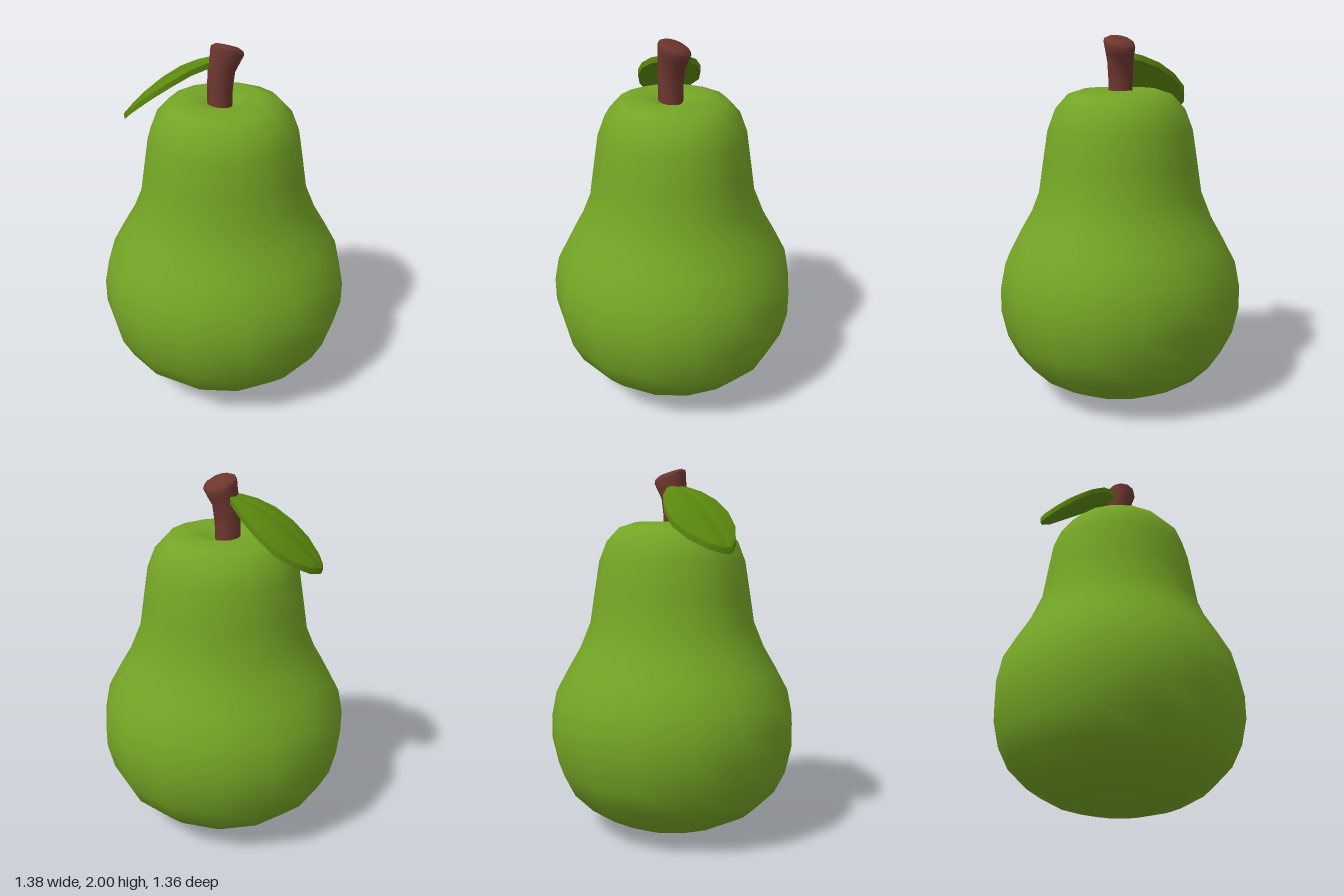
import * as THREE from 'three';
import { toCreasedNormals } from 'three/addons/utils/BufferGeometryUtils.js';

// Closed skin over equal-length rings, each running counter-clockwise about the travel direction
function loft(rings, crease) {
  const n = rings[0].length, last = (rings.length - 1) * n, index = [];
  for (let i = 0; i < rings.length - 1; i++) {
    for (let j = 0; j < n; j++) {
      const a = i * n + j, b = i * n + (j + 1) % n;
      index.push(a, b, a + n, b, b + n, a + n);
    }
  }
  for (let j = 1; j < n - 1; j++) {
    index.push(0, j + 1, j, last, last + j, last + j + 1);
  }
  const geometry = new THREE.BufferGeometry();
  geometry.setAttribute('position', new THREE.Float32BufferAttribute(rings.flat(2), 3));
  geometry.setIndex(index);
  return toCreasedNormals(geometry, crease);
}

// Turned fruit body with a dimple at the top
function bodyGeometry() {
  const profile = [
    [0, 0], [0.195, 0.015], [0.35, 0.055], [0.49, 0.13], [0.595, 0.235], [0.655, 0.355],
    [0.688, 0.5], [0.688, 0.63], [0.66, 0.77], [0.59, 0.9], [0.52, 1.02], [0.462, 1.16],
    [0.437, 1.32], [0.408, 1.5], [0.365, 1.61], [0.295, 1.685], [0.2, 1.715], [0.1, 1.685], [0, 1.65],
  ].map(([r, y]) => new THREE.Vector2(r, y));
  const geometry = new THREE.LatheGeometry(profile, 16);
  const p = geometry.attributes.position;
  // Facets are a little wider at the front and back
  for (let i = 0; i < p.count; i++) {
    const r = Math.hypot(p.getX(i), p.getZ(i));
    const a = Math.atan2(p.getX(i), p.getZ(i));
    const b = a + 0.06 * Math.sin(2 * a);
    p.setXYZ(i, r * Math.sin(b), p.getY(i), r * Math.cos(b) * 0.985);
  }
  return geometry;
}

// Bent stem that flares towards a slanted top
function stemGeometry() {
  // centre x, height, radius, slant
  const sections = [
    [-0.025, 1.64, 0.068, 0], [-0.022, 1.75, 0.067, 0], [-0.015, 1.85, 0.072, 0.1],
    [0.005, 1.91, 0.08, 0.2], [0.016, 1.95, 0.087, 0.25], [0.016, 1.968, 0.083, 0.25], [0.014, 1.982, 0.06, 0.25],
  ];
  return loft(sections.map(([cx, y, r, slant]) => Array.from({ length: 12 }, (_, k) => {
    const a = k / 12 * Math.PI * 2, x = r * Math.sin(a), z = r * Math.cos(a);
    return [cx + x, y + slant * (z * 0.8 - x), z];
  })), 0.9);
}

// Domed leaf with a thin rim and a shallow midrib groove
function leafGeometry() {
  // distance along the midrib, width to the front, width to the back
  const rows = [
    [0, 0.04, 0.045], [0.03, 0.062, 0.08], [0.1, 0.095, 0.15], [0.19, 0.131, 0.2],
    [0.29, 0.135, 0.218], [0.38, 0.11, 0.183], [0.45, 0.06, 0.115], [0.485, 0.015, 0.035],
  ];
  const columns = [1, 0.5, 0.1, 0, -0.1, -0.5, -1];
  return loft(rows.map(([d, front, back]) => {
    const point = (s, drop) => {
      const w = s > 0 ? s * front : s * back - 0.02 * (1 - Math.abs(s)) * d;
      const x = -0.05 - 0.957 * d - 0.29 * w, z = -0.03 - 0.29 * d + 0.957 * w;
      const groove = s === 0 ? 0.008 : 0;
      return [x, 1.91 - 1.1 * (x * x + z * z) - groove - drop, z];
    };
    const top = columns.map((s) => point(s, 0));
    const bottom = columns.map((s) => point(s, 0.032)).reverse();
    return [...top, ...bottom];
  }), 0.8);
}

export function createModel() {
  const group = new THREE.Group();
  group.name = 'pear';
  const add = (name, geometry, materialName, color) => {
    const material = new THREE.MeshStandardMaterial({ color });
    material.name = materialName;
    const mesh = new THREE.Mesh(geometry, material);
    mesh.name = name;
    group.add(mesh);
  };
  add('body', bodyGeometry(), 'skinGreen', 0x74a425);
  add('stem', stemGeometry(), 'stemBrown', 0x6e372f);
  add('leaf', leafGeometry(), 'leafGreen', 0x5c8a0e);
  return group;
}
